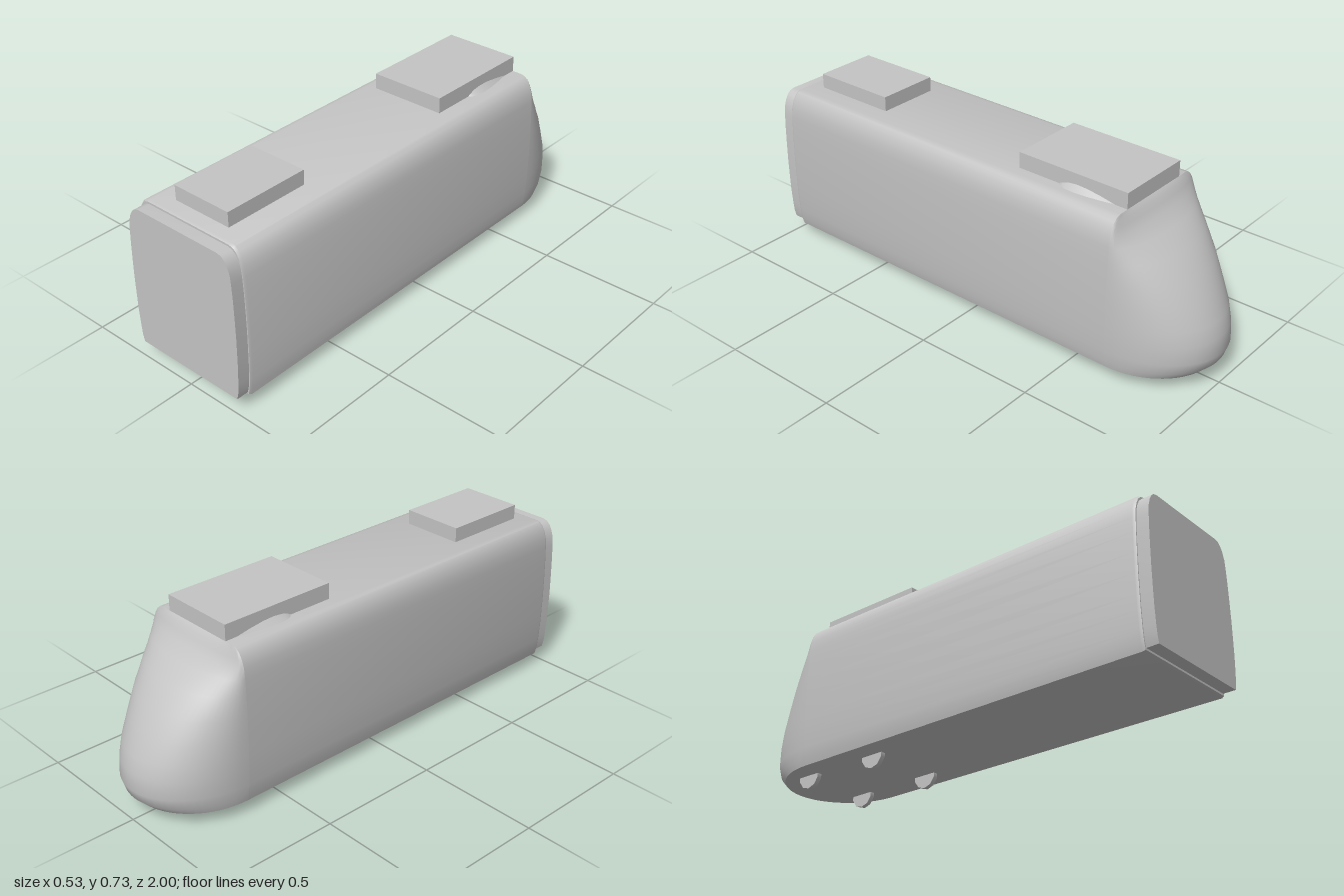
import * as THREE from 'three';
import { toCreasedNormals } from 'three/addons/utils/BufferGeometryUtils.js';

// Side contour, bottom to top: height, half width, nose length at that height
const CONTOUR = [
  [0.055, 0.25, 0.285], [0.085, 0.257, 0.315], [0.13, 0.261, 0.33], [0.2, 0.265, 0.322],
  [0.26, 0.266, 0.305], [0.34, 0.267, 0.265], [0.42, 0.266, 0.22], [0.5, 0.264, 0.155],
  [0.56, 0.261, 0.09], [0.6, 0.257, 0.045], [0.63, 0.247, 0.027], [0.65, 0.235, 0.015],
  [0.663, 0.22, 0.005], [0.668, 0.2, 0],
];
const NOSE_Z = -0.67;

// Skin over rows of points, with optional fans closing the first and last row
function skin(rows, { closed = false, capFirst = false, capLast = false, crease = 0.6 } = {}) {
  const n = rows[0].length;
  const points = rows.flat();
  const index = [];
  const spans = closed ? n : n - 1;
  for (let i = 0; i < rows.length - 1; i++) {
    for (let j = 0; j < spans; j++) {
      const a = i * n + j, b = i * n + (j + 1) % n, c = a + n, d = b + n;
      index.push(a, c, b, b, c, d);
    }
  }
  const cap = (start, flip) => {
    const centre = new THREE.Vector3();
    for (let j = 0; j < n; j++) centre.addScaledVector(points[start + j], 1 / n);
    const k = points.push(centre) - 1;
    for (let j = 0; j < n; j++) {
      const a = start + j, b = start + (j + 1) % n;
      index.push(k, flip ? b : a, flip ? a : b);
    }
  };
  if (capFirst) cap(0, false);
  if (capLast) cap((rows.length - 1) * n, true);
  const geometry = new THREE.BufferGeometry().setFromPoints(points);
  geometry.setIndex(index);
  return toCreasedNormals(geometry, crease);
}

// Closed cross-section of the carriage, shrunk about its middle
function section(z, sx = 1, sy = 1) {
  const mid = 0.363;
  const right = CONTOUR.map(([y, w]) => new THREE.Vector3(w * sx, mid + (y - mid) * sy, z));
  const left = right.map((p) => new THREE.Vector3(-p.x, p.y, z)).reverse();
  return [...right, ...left];
}

export function createModel() {
  const group = new THREE.Group();
  const grey = new THREE.MeshStandardMaterial({ color: 0xc4c4c4 });
  grey.name = 'plain grey';

  const add = (name, geometry, x = 0, y = 0, z = 0) => {
    const mesh = new THREE.Mesh(geometry, grey);
    mesh.name = name;
    mesh.position.set(x, y, z);
    group.add(mesh);
    return mesh;
  };

  // Long body shell with a slightly bevelled end
  add('carriageBody', skin(
    [section(0.95, 0.985, 0.985), section(0.94), section(NOSE_Z)],
    { closed: true, capFirst: true, capLast: true },
  ));

  // Inset coupling end
  add('endFrame', skin(
    [section(1, 0.97, 0.96), section(0.945, 0.97, 0.96)],
    { closed: true, capFirst: true },
  ));

  // Nose: stacked half-ellipses following the contour
  const steps = 32;
  const layers = CONTOUR.map(([y, w, d]) => Array.from({ length: steps + 1 }, (_, j) => {
    const t = Math.PI * (1 - j / steps);
    return new THREE.Vector3(w * Math.cos(t), y, NOSE_Z - d * Math.sin(t));
  }));
  add('nose', skin(layers, { capFirst: true, crease: 0.7 }));

  // Roof equipment boxes
  add('rearRoofBox', new THREE.BoxGeometry(0.32, 0.07, 0.48), 0, 0.697, -0.43);
  add('frontRoofBox', new THREE.BoxGeometry(0.26, 0.066, 0.36), 0, 0.695, 0.705);

  // Teardrop fairing that swells out beside the rear roof box: z, half width, height
  const fairing = [
    [-0.37, 0.162, 0.667], [-0.385, 0.178, 0.675], [-0.41, 0.187, 0.684], [-0.45, 0.188, 0.689],
    [-0.5, 0.184, 0.687], [-0.56, 0.174, 0.679], [-0.62, 0.162, 0.668],
  ].map(([z, w, h]) => [[w, 0.664], [0.16, h], [-0.16, h], [-w, 0.664]]
    .map(([x, y]) => new THREE.Vector3(x, y, z)));
  add('roofFairing', skin(fairing));

  // Wheels showing below the floor
  const wheel = new THREE.CylinderGeometry(0.055, 0.055, 0.02, 10).rotateZ(Math.PI / 2);
  wheel.rotateX(Math.PI / 10);
  for (const z of [-0.385, -0.745]) {
    for (const side of [1, -1]) {
      add(side > 0 ? 'leftWheel' : 'rightWheel', wheel, side * 0.152, 0.055, z);
    }
  }
  return group;
}
